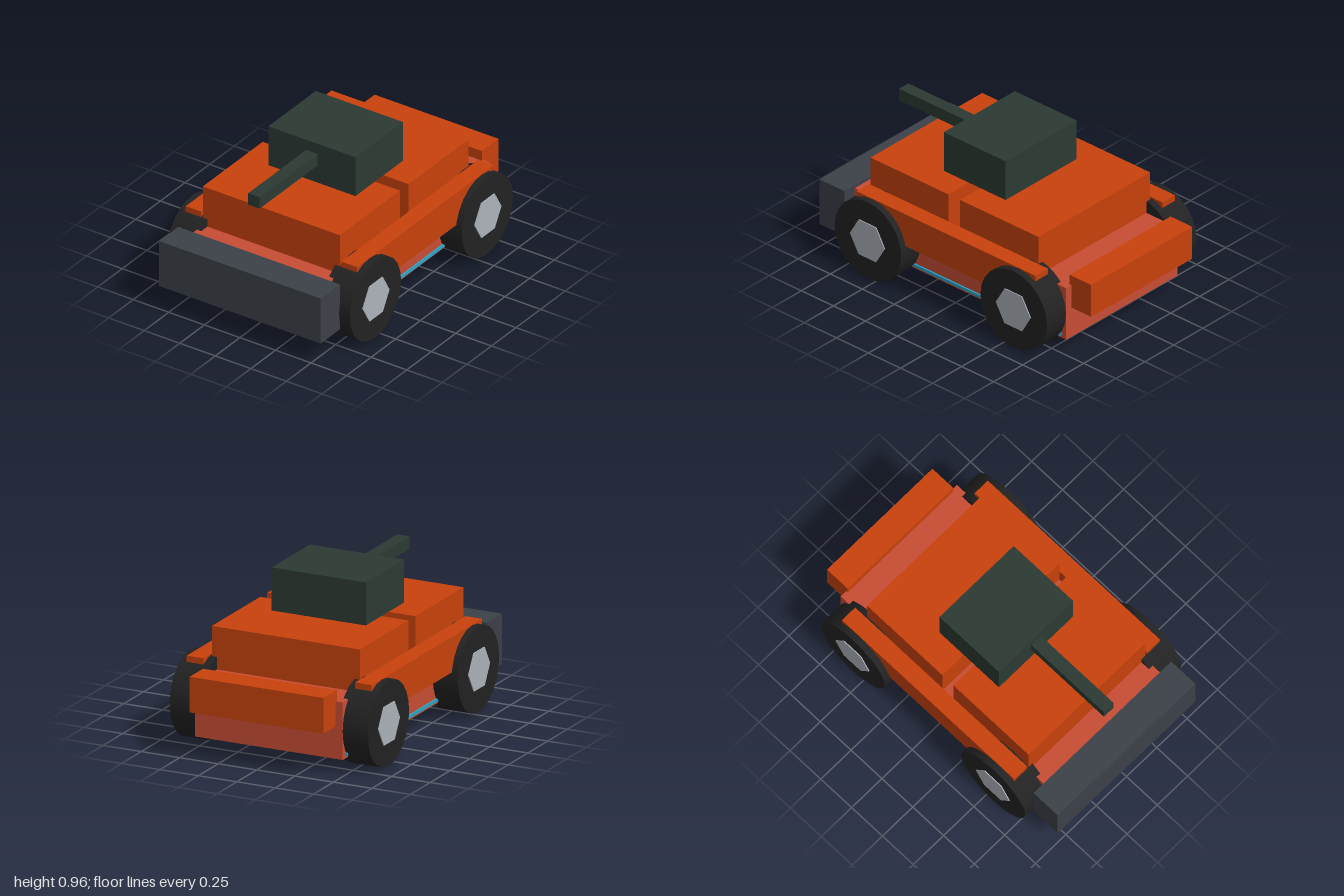
import * as THREE from 'three';

const paint = (name, color) => {
  const m = new THREE.MeshStandardMaterial({ color });
  m.name = name;
  return m;
};

export function createModel() {
  const orange = paint('orange armour', 0xc8410c);
  const red = paint('red hull', 0xc84d35);
  const green = paint('dark green', 0x2c3a33);
  const slate = paint('slate', 0x3c4048);
  const rubber = paint('rubber', 0x222222);
  const silver = paint('silver', 0xadb3ba);
  const blue = paint('blue glow', 0x2aa5c8);
  const black = paint('underside black', 0x161616);

  const model = new THREE.Group();
  model.name = 'armouredVehicle';

  // Box given by its extents along each axis
  const box = (name, material, [x0, x1], [y0, y1], [z0, z1]) => {
    const mesh = new THREE.Mesh(new THREE.BoxGeometry(x1 - x0, y1 - y0, z1 - z0), material);
    mesh.position.set((x0 + x1) / 2, (y0 + y1) / 2, (z0 + z1) / 2);
    mesh.name = name;
    model.add(mesh);
  };

  // Hull and belly
  box('lowerHull', red, [-0.48, 0.48], [0.09, 0.44], [-0.845, 0.815]);
  box('bellyPlate', black, [-0.435, 0.435], [0.07, 0.09], [-0.745, 0.715]);
  box('frontUpperHull', orange, [-0.482, 0.482], [0.44, 0.7], [0.07, 0.68]);
  box('rearUpperHull', orange, [-0.482, 0.482], [0.44, 0.7], [-0.63, -0.018]);

  // Front ram and rear stowage
  box('frontRam', slate, [-0.568, 0.568], [0.157, 0.46], [0.805, 1]);
  box('rearBin', orange, [-0.435, 0.435], [0.288, 0.505], [-1, -0.832]);
  box('rearBinBracket', red, [-0.37, 0.37], [0.267, 0.32], [-0.872, -0.84]);

  // Turret
  box('turret', green, [-0.306, 0.306], [0.7, 0.962], [-0.215, 0.267]);
  box('barrel', green, [-0.04, 0.04], [0.816, 0.893], [0.26, 0.857]);

  // Side skirts, light strips and wheels, mirrored
  const tyreGeometry = new THREE.CylinderGeometry(0.26, 0.26, 0.195, 24).rotateZ(Math.PI / 2);
  const hubGeometry = new THREE.CylinderGeometry(0.135, 0.135, 0.207, 6).toNonIndexed();
  hubGeometry.computeVertexNormals();
  // The hexagon has its points at top and bottom
  hubGeometry.rotateY(Math.PI / 2).rotateZ(Math.PI / 2);

  for (const side of [1, -1]) {
    const span = (a, b) => (side > 0 ? [a, b] : [-b, -a]);
    const label = side > 0 ? 'left' : 'right';
    box(label + 'Skirt', orange, span(0.493, 0.602), [0.31, 0.526], [-0.715, 0.68]);
    box(label + 'LightStrip', blue, span(0.475, 0.49), [0.105, 0.124], [-0.81, 0.78]);

    for (const [end, z] of [['Front', 0.553], ['Rear', -0.585]]) {
      const wheel = new THREE.Group();
      wheel.name = label + end + 'Wheel';
      const tyre = new THREE.Mesh(tyreGeometry, rubber);
      tyre.name = 'tyre';
      const hub = new THREE.Mesh(hubGeometry, silver);
      hub.name = 'hub';
      // Hexagon points must lie on the vertical axis
      hub.rotation.x = Math.PI / 2;
      wheel.add(tyre, hub);
      wheel.position.set(side * 0.547, 0.263, z);
      model.add(wheel);
    }
  }
  return model;
}
